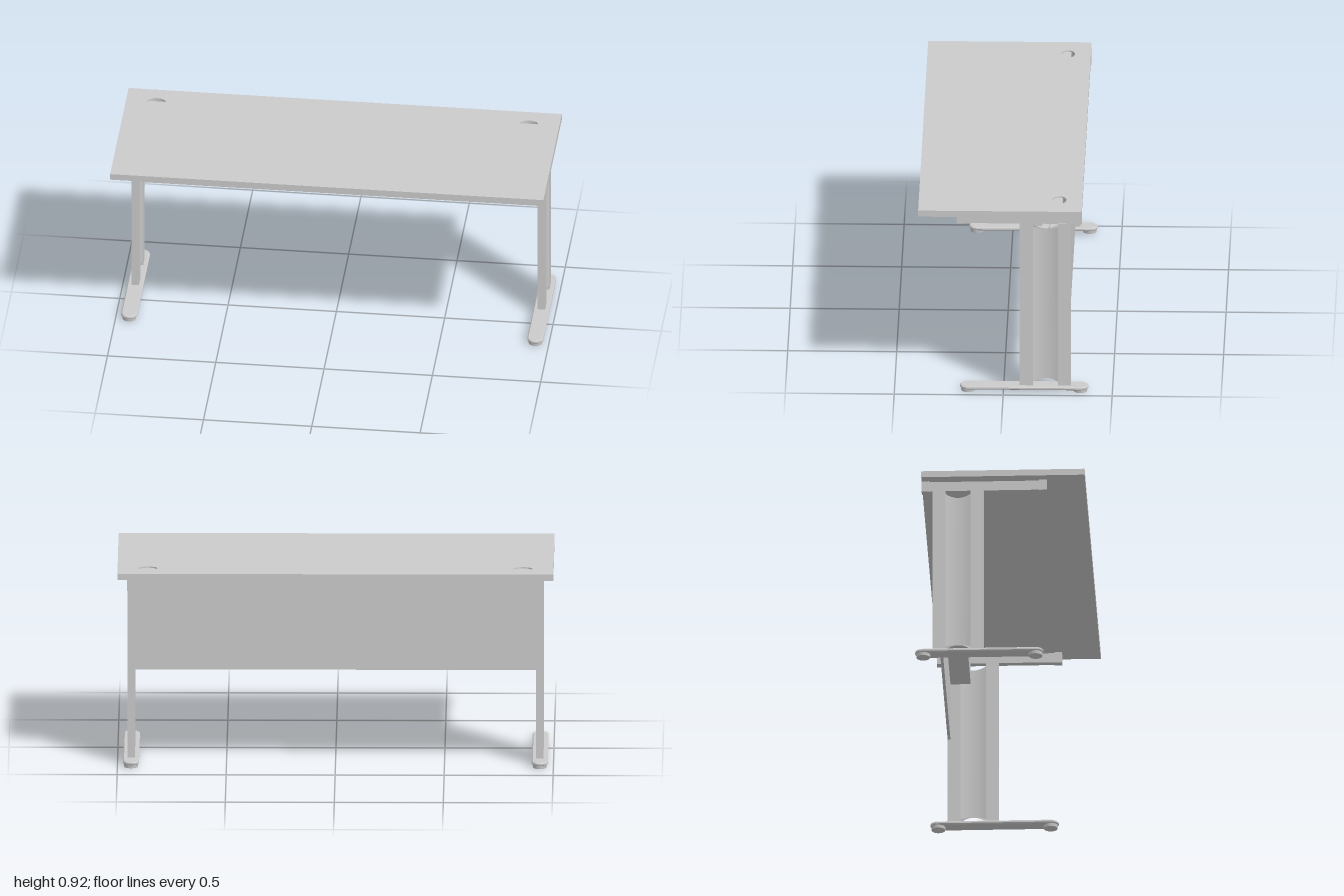
import * as THREE from 'three';

const grey = new THREE.MeshStandardMaterial({ color: 0xcccccc, side: THREE.DoubleSide });

function add(parent, name, geometry, x = 0, y = 0, z = 0) {
  const mesh = new THREE.Mesh(geometry, grey);
  mesh.name = name;
  mesh.position.set(x, y, z);
  parent.add(mesh);
  return mesh;
}

// Box given by its limits on each axis
function box(parent, name, x0, x1, y0, y1, z0, z1) {
  return add(parent, name, new THREE.BoxGeometry(x1 - x0, y1 - y0, z1 - z0),
    (x0 + x1) / 2, (y0 + y1) / 2, (z0 + z1) / 2);
}

function rect(x0, x1, y0, y1) {
  return new THREE.Shape([[x0, y0], [x1, y0], [x1, y1], [x0, y1]].map(p => new THREE.Vector2(...p)));
}

function ellipse(x, y, rx, ry) {
  return new THREE.Path().absellipse(x, y, rx, ry, 0, Math.PI * 2, true);
}

function extrude(shape, depth, bevel = 0) {
  return new THREE.ExtrudeGeometry(shape, {
    depth, curveSegments: 16, bevelEnabled: bevel > 0,
    bevelSize: bevel, bevelThickness: bevel, bevelOffset: -bevel, bevelSegments: 1,
  });
}

// Sheet bowed towards the middle of the leg, with arched cut-outs at both ends
function coverGeometry(side) {
  const geometry = new THREE.PlaneGeometry(1, 1, 16, 1);
  const pos = geometry.attributes.position;
  for (let i = 0; i < pos.count; i++) {
    const u = pos.getX(i) * 2;
    const bow = 1 - u * u;
    const y = pos.getY(i) > 0 ? 0.82 - 0.016 * bow : 0.047 + 0.016 * bow;
    pos.setXYZ(i, side * (0.015 - 0.01 * bow), y, -0.1925 + 0.0575 * u);
  }
  geometry.computeVertexNormals();
  return geometry;
}

function createLeg() {
  const leg = new THREE.Group();
  const w = 0.0175;

  // Two uprights with curved covers between them
  box(leg, 'frontUpright', -w, w, 0.03, 0.836, -0.135, -0.075);
  box(leg, 'rearUpright', -w, w, 0.03, 0.836, -0.31, -0.25);
  for (const side of [-1, 1]) add(leg, 'uprightCover', coverGeometry(side));

  // Support arm with end pads that touch the top
  box(leg, 'supportArm', -0.015, 0.015, 0.835, 0.881, -0.325, 0.18);
  box(leg, 'frontArmPad', -w, w, 0.833, 0.886, 0.18, 0.215);
  box(leg, 'rearArmPad', -w, w, 0.833, 0.886, -0.36, -0.325);

  // Foot bar with round ends and a bevelled rim
  const r = 0.037, front = 0.163, rear = -0.353;
  const shape = new THREE.Shape();
  shape.absarc(0, -rear, r, 0, Math.PI);
  shape.absarc(0, -front, r, Math.PI, Math.PI * 2);
  shape.closePath();
  const foot = extrude(shape, 0.007, 0.005);
  foot.rotateX(-Math.PI / 2);
  add(leg, 'footBar', foot, 0, 0.019, 0);

  // Levelling feet
  for (const z of [front, rear]) {
    add(leg, 'levellingFoot', new THREE.CylinderGeometry(0.033, 0.031, 0.016, 32), 0, 0.008, z);
  }
  return leg;
}

export function createModel() {
  const desk = new THREE.Group();
  desk.name = 'desk';

  // Top with two oval cable holes
  const topShape = rect(-1, 1, -0.39, 0.36);
  for (const side of [-1, 1]) topShape.holes.push(ellipse(side * 0.86, 0.255, 0.043, 0.032));
  const top = extrude(topShape, 0.03);
  top.rotateX(-Math.PI / 2);
  add(desk, 'desktop', top, 0, 0.885, 0);

  for (const side of [-1, 1]) {
    const leg = createLeg();
    leg.name = side > 0 ? 'leftLeg' : 'rightLeg';
    leg.position.x = side * 0.9375;
    desk.add(leg);

    // Cable cap set in the hole, with a slot left open at the back
    const cap = new THREE.Shape();
    cap.absellipse(0, 0, 0.043, 0.032, Math.PI * 0.85, Math.PI * 2.15, false);
    cap.closePath();
    const capGeometry = extrude(cap, 0.022);
    capGeometry.rotateX(-Math.PI / 2);
    add(desk, 'cableCap', capGeometry, side * 0.86, 0.887, -0.255);
  }

  // Modesty panel between the rear uprights
  box(desk, 'modestyPanel', -0.92, 0.92, 0.45, 0.885, -0.31, -0.297);

  // Cable tray: perforated front and a floor
  const trayShape = rect(-0.92, 0.92, 0.73, 0.805);
  for (const x of [0.045, 0.135, 0.225]) trayShape.holes.push(ellipse(x, 0.772, 0.032, 0.014));
  for (const x of [-0.17, -0.125, -0.07, -0.03]) trayShape.holes.push(ellipse(x, 0.778, 0.003, 0.003));
  add(desk, 'cableTrayFront', extrude(trayShape, 0.006), 0, 0, -0.21);
  box(desk, 'cableTrayFloor', -0.92, 0.92, 0.73, 0.736, -0.297, -0.21);

  return desk;
}
